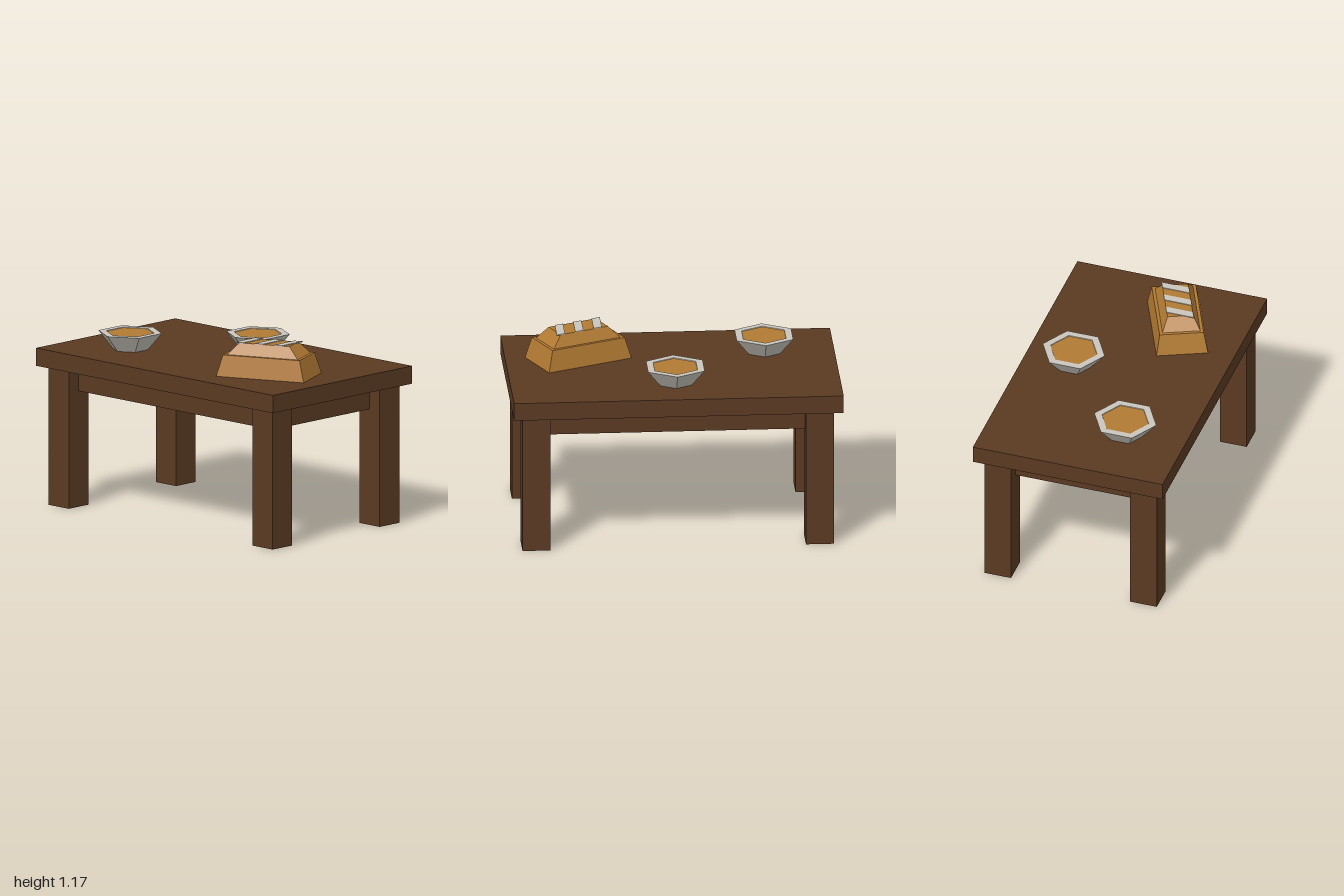
import * as THREE from 'three';

const makeMaterial = (name, color) => {
  const m = new THREE.MeshStandardMaterial({ color, flatShading: true });
  m.name = name;
  return m;
};

export function createModel() {
  const wood = makeMaterial('dark wood', 0x5a3a22);
  const hollowWood = wood;
  hollowWood.side = THREE.DoubleSide; // legs are open at the foot
  const crust = makeMaterial('golden crust', 0xb27a33);
  const pale = makeMaterial('pale ceramic', 0xcac6be);

  const model = new THREE.Group();
  model.name = 'diningTable';

  const add = (parent, name, geometry, material, x = 0, y = 0, z = 0) => {
    const mesh = new THREE.Mesh(geometry, material);
    mesh.name = name;
    mesh.position.set(x, y, z);
    parent.add(mesh);
    return mesh;
  };

  // Box whose top and bottom rectangles differ; half sizes, base at y = 0
  const frustum = (bottomX, bottomZ, topX, topZ, height) => {
    const g = new THREE.BoxGeometry(2, height, 2).translate(0, height / 2, 0);
    const p = g.attributes.position;
    for (let i = 0; i < p.count; i++) {
      const top = p.getY(i) > height / 2;
      p.setX(i, p.getX(i) * (top ? topX : bottomX));
      p.setZ(i, p.getZ(i) * (top ? topZ : bottomZ));
    }
    g.computeVertexNormals();
    return g;
  };

  // Table
  add(model, 'tableTop', new THREE.BoxGeometry(2, 0.11, 1.21), wood, 0, 0.915, 0);
  add(model, 'apron', new THREE.BoxGeometry(1.72, 0.145, 0.93), wood, 0, 0.7885, 0);
  const legGeometry = new THREE.CylinderGeometry(0.12, 0.12, 0.86, 4, 1, true).rotateY(Math.PI / 4);
  for (const [sz, end] of [[1, 'front'], [-1, 'back']]) {
    for (const [sx, side] of [[1, 'Left'], [-1, 'Right']]) {
      add(model, `${end}${side}Leg`, legGeometry, hollowWood, sx * 0.86, 0.43, sz * 0.465);
    }
  }

  // Six-sided bowls filled with soup
  const bowlProfile = [[0, 0], [0.11, 0], [0.198, 0.105], [0.15, 0.105], [0.147, 0.098]]
    .map(([r, y]) => new THREE.Vector2(r, y));
  const addBowl = (name, x, z) => {
    const bowl = new THREE.Group();
    bowl.name = name;
    bowl.position.set(x, 0.97, z);
    add(bowl, 'bowlShell', new THREE.LatheGeometry(bowlProfile, 6), pale);
    add(bowl, 'soup', new THREE.CircleGeometry(0.149, 6).rotateX(-Math.PI / 2).rotateY(Math.PI / 2), crust, 0, 0.101, 0);
    model.add(bowl);
  };
  addBowl('backBowl', 0, -0.295);
  addBowl('rightBowl', -0.573, 0.225);

  // Two-tier loaf, turned on the table
  const turn = THREE.MathUtils.degToRad(24);
  const loaf = new THREE.Group();
  loaf.name = 'loaf';
  loaf.position.set(0.556, 0.97, 0.183);
  loaf.rotation.y = turn;
  model.add(loaf);
  add(loaf, 'loafBase', frustum(0.282, 0.157, 0.247, 0.134, 0.13), crust);
  add(loaf, 'loafCrown', frustum(0.228, 0.115, 0.162, 0.078, 0.07), crust, 0, 0.13, 0);

  // Slanted icing stripes across the crown
  for (let i = -1; i <= 1; i++) {
    const g = new THREE.BoxGeometry(0.056, 0.005, 0.16);
    const p = g.attributes.position;
    for (let j = 0; j < p.count; j++) p.setX(j, p.getX(j) - Math.tan(turn) * p.getZ(j));
    g.computeVertexNormals();
    add(loaf, 'icingStripe', g, pale, i * 0.126, 0.2015, 0);
  }

  return model;
}
